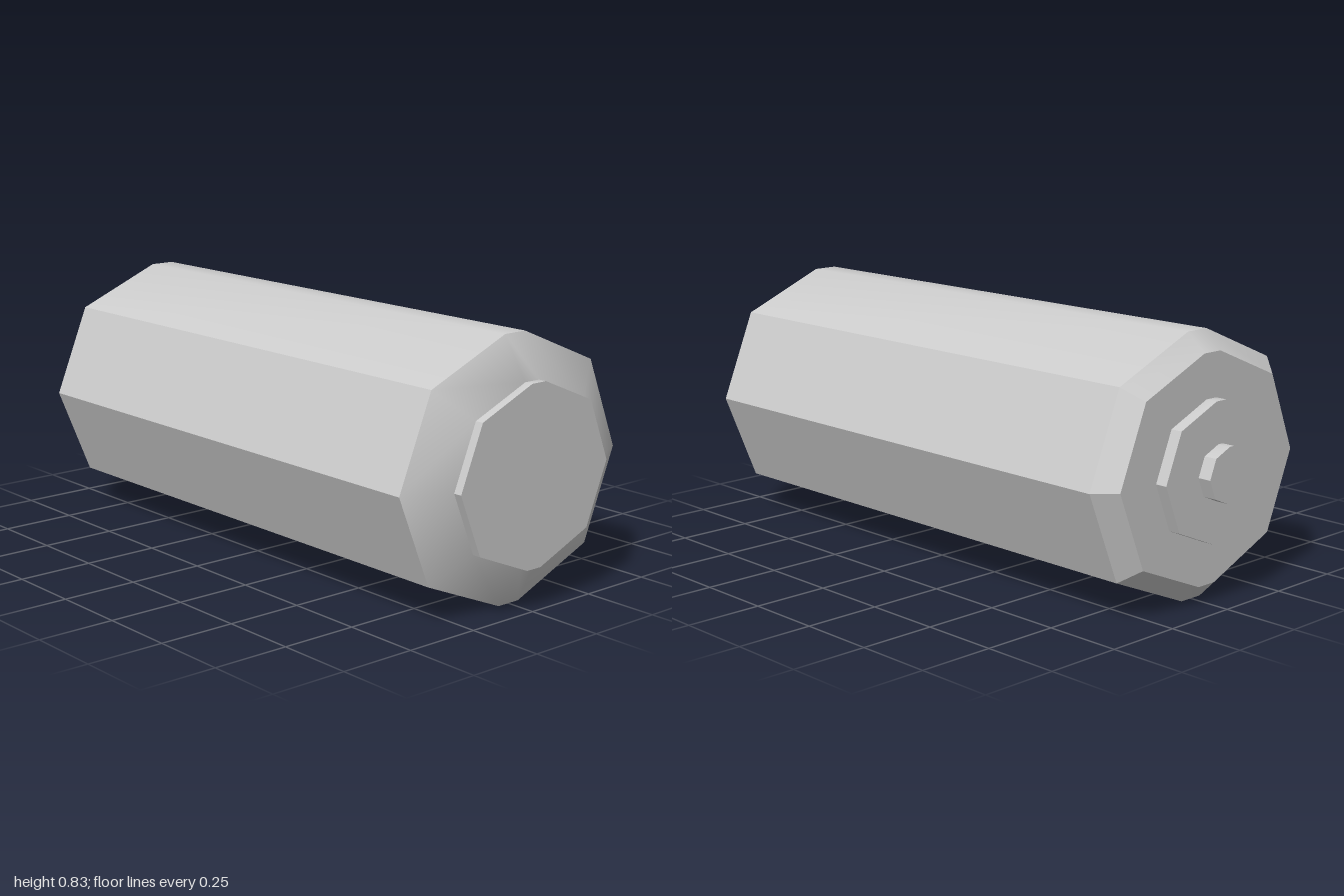
import * as THREE from 'three';
import { toCreasedNormals } from 'three/addons/utils/BufferGeometryUtils.js';

const CENTER_Y = 0.417;

// Right half of the cross-section as [y, z], mirrored into a ten-sided ring
const HALF = [[0.417, 0.042], [0.293, 0.337], [0, 0.457], [-0.293, 0.337], [-0.417, 0.042]];
const RING = [...HALF, ...HALF.map(([y, z]) => [-y, -z])];

// Closed solid along x through [x, scale] stations
function loft(stations) {
  const n = RING.length, pos = [], index = [];
  for (const [x, s] of stations) for (const [y, z] of RING) pos.push(x, y * s, z * s);
  for (let k = 0; k < stations.length - 1; k++) {
    for (let i = 0; i < n; i++) {
      const j = (i + 1) % n, a = k * n + i, b = k * n + j;
      index.push(a, b, a + n, b, b + n, a + n);
    }
  }
  // End faces
  const last = (stations.length - 1) * n;
  for (let i = 1; i < n - 1; i++) {
    index.push(0, i + 1, i);
    index.push(last, last + i, last + i + 1);
  }
  const geo = new THREE.BufferGeometry();
  geo.setAttribute('position', new THREE.Float32BufferAttribute(pos, 3));
  geo.setIndex(index);
  return toCreasedNormals(geo, THREE.MathUtils.degToRad(30));
}

export function createModel() {
  const group = new THREE.Group();
  const material = new THREE.MeshStandardMaterial({ color: 0xcccccc });
  const parts = {
    // Casing with a short bevel at one end and a steeper one at the other
    casing: [[-0.917, 0.86], [-0.857, 1], [0.9, 1], [0.972, 0.68]],
    // Stepped terminal on the left end
    terminalCollar: [[-0.956, 0.525], [-0.917, 0.525]],
    terminalTip: [[-1, 0.21], [-0.956, 0.21]],
    // Flat contact on the right end
    endContact: [[0.972, 0.68], [1, 0.68]],
  };
  for (const [name, stations] of Object.entries(parts)) {
    const mesh = new THREE.Mesh(loft(stations), material);
    mesh.name = name;
    mesh.position.y = CENTER_Y;
    group.add(mesh);
  }
  return group;
}
